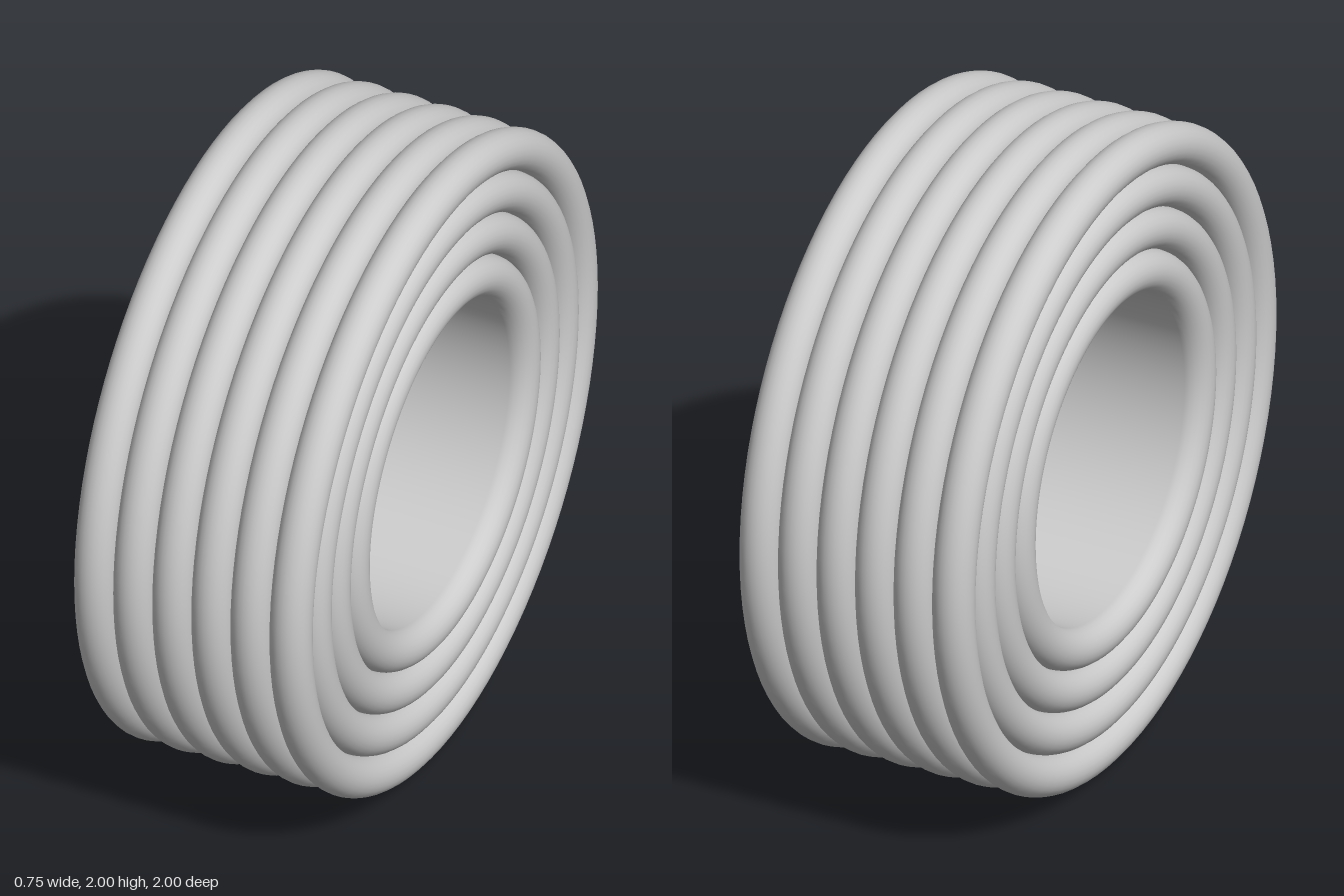
import * as THREE from 'three';

const TUBE = 0.0625;      // radius of every round rib
const OUTER = 1 - TUBE;   // centre radius of the tread ribs
const COLUMNS = 6;        // ribs across the width
const ROWS = 4;           // ribs from the rim down to the bore
const SEGMENTS = 96;

export function createModel() {
  const group = new THREE.Group();
  const material = new THREE.MeshStandardMaterial({ color: 0xcccccc });

  // One round rib around the x axis
  const addRib = (name, radius, x) => {
    const rib = new THREE.Mesh(new THREE.TorusGeometry(radius, TUBE, 24, SEGMENTS), material);
    rib.name = name;
    rib.rotation.y = Math.PI / 2;
    rib.position.set(x, 1, 0);
    group.add(rib);
  };

  // Tread ribs around the outside
  const edge = (COLUMNS - 1) * TUBE;
  for (let i = 0; i < COLUMNS; i++) addRib('treadRib', OUTER, -edge + i * 2 * TUBE);

  // Concentric ribs on both side walls
  for (const side of [-1, 1]) {
    for (let i = 1; i < ROWS; i++) addRib('sideRib', OUTER - i * 2 * TUBE, side * edge);
  }

  // Smooth bore between the two innermost ribs
  const boreRadius = OUTER - (ROWS - 1) * 2 * TUBE - TUBE;
  const bore = new THREE.Mesh(
    new THREE.CylinderGeometry(boreRadius, boreRadius, 2 * edge, SEGMENTS, 1, true),
    new THREE.MeshStandardMaterial({ color: 0xcccccc, side: THREE.DoubleSide })
  );
  bore.name = 'bore';
  bore.rotation.z = Math.PI / 2;
  bore.position.y = 1;
  group.add(bore);

  return group;
}
